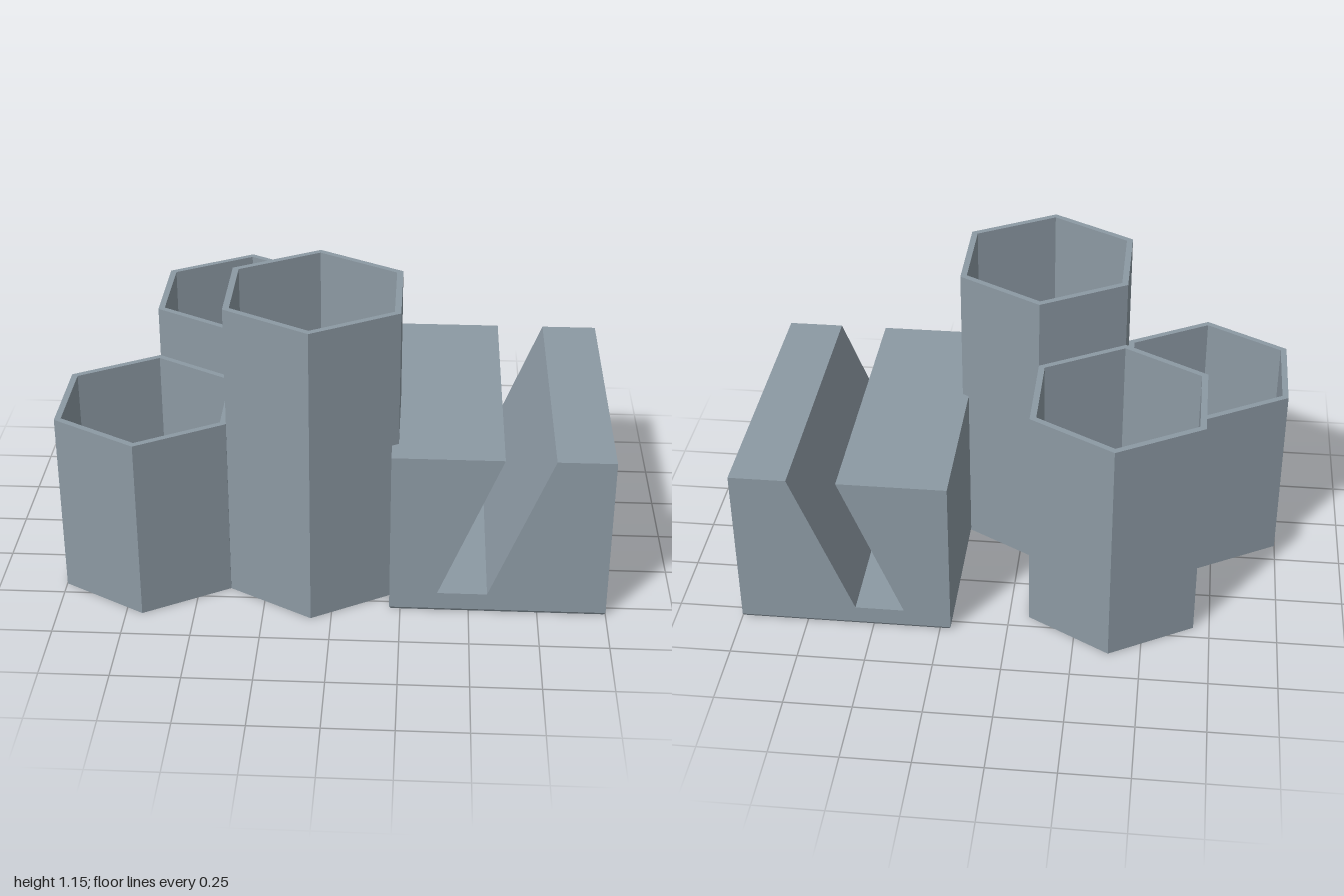
import * as THREE from 'three';

export function createModel() {
  const group = new THREE.Group();
  group.name = 'deskOrganizer';
  const slate = new THREE.MeshStandardMaterial({ color: 0x8c99a3, flatShading: true });
  slate.name = 'slate grey';

  const add = (name, geometry, x = 0, y = 0, z = 0) => {
    const mesh = new THREE.Mesh(geometry, slate);
    mesh.name = name;
    mesh.position.set(x, y, z);
    group.add(mesh);
  };

  // Hollow hexagonal cups: closed floor, thin wall, open top
  const R = 0.356, inner = 0.33, floor = 0.03;
  const cup = (name, height, x, z) => {
    const profile = [
      [0, 0], [R, 0], [R, height], [inner, height], [inner, floor], [0, floor],
    ].map(([r, y]) => new THREE.Vector2(r, y));
    add(name, new THREE.LatheGeometry(profile, 6), x, 0, z);
  };
  cup('shortCup', 0.70, -0.691, 0.265);
  cup('tallCup', 1.15, -0.074, 0.265);
  cup('middleCup', 0.895, -0.382, -0.268);

  // Stand block with a slanted slot running front to back
  const left = 0.21, right = 1, halfDepth = 0.547, bevel = 0.01;
  const outline = new THREE.Shape([
    [left, bevel], [right, bevel], [right, 0.638], [0.79, 0.638],
    [0.566, 0.076], [0.384, 0.076], [0.61, 0.638], [left, 0.638],
  ].map(([x, y]) => new THREE.Vector2(x, y)));
  add('slottedStand',
    new THREE.ExtrudeGeometry(outline, { depth: 2 * halfDepth, bevelEnabled: false }),
    0, 0, -halfDepth);

  // Slightly tapered foot under the stand
  const foot = new THREE.BoxGeometry(right - left, bevel, 2 * halfDepth);
  const p = foot.attributes.position;
  for (let i = 0; i < p.count; i++) {
    if (p.getY(i) < 0) {
      p.setX(i, p.getX(i) - Math.sign(p.getX(i)) * 0.006);
      p.setZ(i, p.getZ(i) - Math.sign(p.getZ(i)) * 0.006);
    }
  }
  foot.computeVertexNormals();
  add('standFoot', foot, (left + right) / 2, bevel / 2, 0);

  return group;
}
